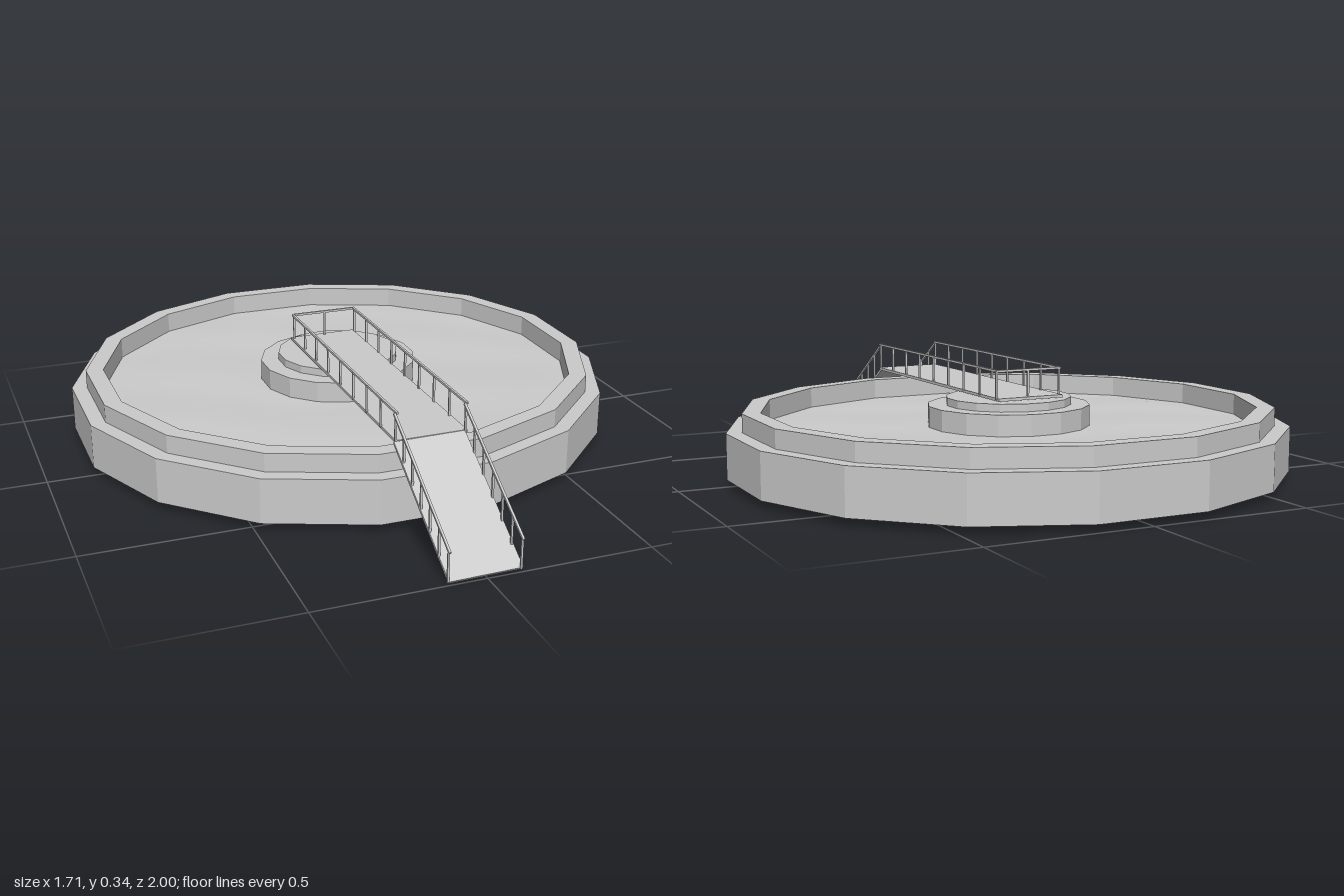
import * as THREE from 'three';

const SIDES = 16, HALF = Math.PI / SIDES;
const flat = new THREE.MeshStandardMaterial({ color: 0xcccccc, flatShading: true, side: THREE.DoubleSide });
const smooth = new THREE.MeshStandardMaterial({ color: 0xcccccc, side: THREE.DoubleSide });

function add(parent, name, geometry, material = flat) {
  const mesh = new THREE.Mesh(geometry, material);
  mesh.name = name;
  parent.add(mesh);
  return mesh;
}

// Sixteen-sided lathe with flats facing the axes
function ring(profile) {
  return new THREE.LatheGeometry(profile.map(([r, y]) => new THREE.Vector2(r, y)), SIDES, HALF);
}

// Rippled surface whose rim follows the sixteen-sided wall
function waterGeometry(inner, outer, y) {
  const g = new THREE.RingGeometry(inner, outer, SIDES * 4, 12, HALF).rotateX(-Math.PI / 2);
  const p = g.attributes.position;
  for (let i = 0; i < p.count; i++) {
    const x = p.getX(i), z = p.getZ(i), r = Math.hypot(x, z);
    const a = Math.atan2(z, x) + Math.PI * 4;
    const toFlat = ((a + HALF) % (2 * HALF)) - HALF;
    const k = Math.cos(HALF) / Math.cos(toFlat);
    const fade = Math.min(1, (outer - r) * 10, Math.max(0, r - inner) * 10);
    const ripple = 0.0025 * fade * (Math.sin(9 * x + 5 * z) + Math.sin(13 * z - 7 * x + 1));
    p.setXYZ(i, x * k, y + ripple, z * k);
  }
  g.computeVertexNormals();
  return g;
}

// Square bar between two points lying in a common vertical plane
function bar(parent, name, a, b, width, height) {
  const from = new THREE.Vector3(...a), to = new THREE.Vector3(...b);
  const mesh = add(parent, name, new THREE.BoxGeometry(width, height, from.distanceTo(to)));
  mesh.position.copy(from).add(to).multiplyScalar(0.5);
  mesh.lookAt(to);
  return mesh;
}

export function createModel() {
  const model = new THREE.Group();

  // Round tank, slightly narrower front to back
  const tank = new THREE.Group();
  tank.name = 'tank';
  tank.position.z = -0.172;
  tank.scale.z = 0.97;
  model.add(tank);
  add(tank, 'steppedWall', ring([
    [0.872, 0.025], [0.872, 0.165], [0.824, 0.165], [0.824, 0.222], [0.768, 0.222], [0.768, 0.155],
  ]));
  add(tank, 'waterSurface', waterGeometry(0.25, 0.768, 0.157), smooth);

  // Central pedestal
  add(tank, 'pedestal', ring([[0, 0.105], [0.255, 0.105], [0.255, 0.222], [0, 0.222]]));
  add(tank, 'pedestalCap', ring([[0.197, 0.222], [0.197, 0.246], [0, 0.246]]));

  // Walkway and ramp
  const walkway = new THREE.Group();
  walkway.name = 'walkway';
  walkway.position.x = -0.004;
  model.add(walkway);
  const deckY = 0.254, kneeZ = 0.615, endZ = -0.305, footZ = 0.99, footY = 0.006;
  const railHeight = 0.086, halfWidth = 0.107, bend = 0.007;
  bar(walkway, 'deck', [0, deckY, endZ], [0, deckY, kneeZ], 0.22, 0.009);
  bar(walkway, 'ramp', [0, deckY, kneeZ], [0, footY, footZ], 0.22, 0.009);

  const post = (x, y, z) => {
    const mesh = add(walkway, 'railPost', new THREE.BoxGeometry(0.006, railHeight, 0.006));
    mesh.position.set(x, y + railHeight / 2, z);
  };
  const railZ = -0.292, top = deckY + railHeight;
  for (const side of [-1, 1]) {
    const x = side * halfWidth;
    bar(walkway, 'deckRail', [x, top, railZ], [x, top, kneeZ], bend, bend);
    bar(walkway, 'rampRail', [x, top, kneeZ], [x, footY + railHeight, footZ], bend, bend);
    for (let i = 0; i <= 8; i++) post(x, deckY, THREE.MathUtils.lerp(railZ, kneeZ, i / 8));
    for (let i = 1; i <= 6; i++) {
      post(x, THREE.MathUtils.lerp(deckY, footY, i / 6), THREE.MathUtils.lerp(kneeZ, footZ, i / 6));
    }
  }

  // Railing across the inner end
  bar(walkway, 'endRail', [-halfWidth, top, railZ], [halfWidth, top, railZ], bend, bend);
  post(0, deckY, railZ);

  return model;
}
